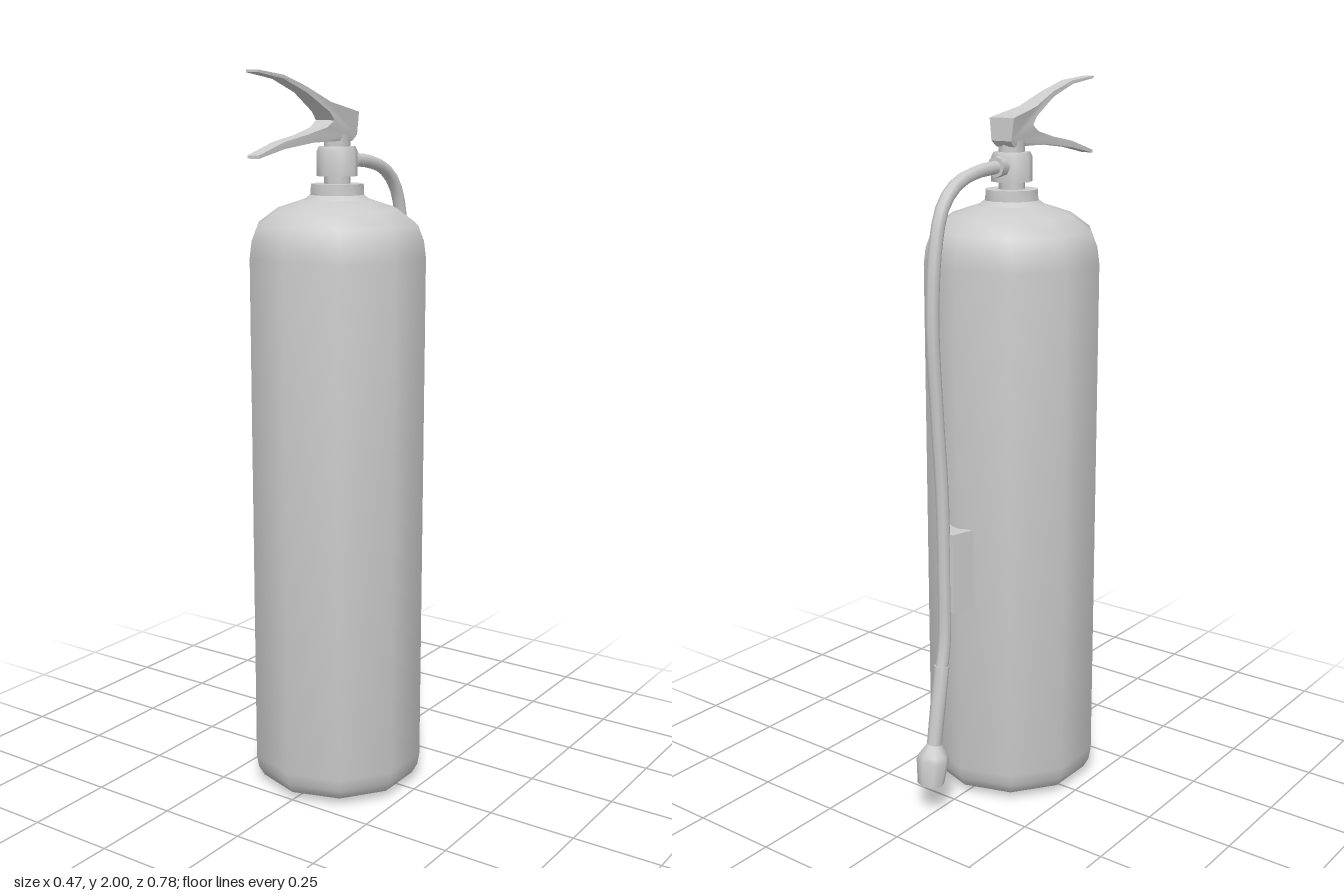
import * as THREE from 'three';
import { toCreasedNormals } from 'three/addons/utils/BufferGeometryUtils.js';

const AXIS_Z = 0.025; // the cylinder axis sits slightly forward of centre
const material = new THREE.MeshStandardMaterial({ color: 0xcccccc });

function part(name, geometry, crease = 0.8) {
  const mesh = new THREE.Mesh(toCreasedNormals(geometry, crease), material);
  mesh.name = name;
  return mesh;
}

// Solid of revolution from [radius, y] pairs, bottom to top
function turned(name, profile, sides, crease) {
  const points = profile.map(([r, y]) => new THREE.Vector2(r, y));
  const mesh = part(name, new THREE.LatheGeometry(points, sides), crease);
  mesh.position.z = AXIS_Z;
  return mesh;
}

// Half width of the handle, narrowing from the pivot to the grip ends
function handleHalfWidth(z, y) {
  const t = THREE.MathUtils.clamp((z + 0.03) / 0.24, 0, 1);
  const pinch = z < 0.09 ? THREE.MathUtils.clamp((1.88 - y) / 0.06, 0, 1) * 0.012 : 0;
  return THREE.MathUtils.lerp(0.041, 0.018, t) - pinch * (1 - t);
}

function handleGeometry() {
  // Side outline as [z, y]: upper lever, pivot block, lower lever, inner gap
  const outline = [
    [0.39, 2.0], [0.285, 1.99], [0.19, 1.963], [0.095, 1.925], [-0.02, 1.9],
    [-0.022, 1.84], [-0.005, 1.824], [0.085, 1.824], [0.165, 1.822], [0.285, 1.808], [0.39, 1.787],
    [0.39, 1.795], [0.285, 1.826], [0.19, 1.842], [0.11, 1.86], [0.08, 1.878],
    [0.1, 1.9], [0.19, 1.948], [0.285, 1.98], [0.39, 1.994],
  ];
  const shape = new THREE.Shape(outline.map(([z, y]) => new THREE.Vector2(z, y)));
  const geometry = new THREE.ExtrudeGeometry(shape, { depth: 2, bevelEnabled: false });
  geometry.translate(0, 0, -1);
  geometry.rotateY(-Math.PI / 2); // outline x becomes z
  const p = geometry.attributes.position;
  for (let i = 0; i < p.count; i++) {
    p.setX(i, p.getX(i) * handleHalfWidth(p.getZ(i), p.getY(i)));
  }
  return geometry;
}

export function createModel() {
  const model = new THREE.Group();
  model.name = 'fireExtinguisher';

  // Ten-sided pressure cylinder with a domed shoulder
  model.add(turned('tank', [
    [0, 0.002], [0.035, 0.003], [0.19, 0.012], [0.225, 0.026], [0.241, 0.055], [0.247, 0.09],
    [0.247, 1.52], [0.241, 1.565], [0.225, 1.605], [0.17, 1.645], [0.095, 1.67], [0, 1.68],
  ], 10, 1.1));

  // Neck fittings
  model.add(turned('collar', [
    [0.095, 1.668], [0.075, 1.683], [0.074, 1.712], [0, 1.712],
  ], 10));
  model.add(turned('neck', [[0.036, 1.7], [0.036, 1.84]], 8, 0.9));
  model.add(turned('valve', [
    [0, 1.732], [0.056, 1.732], [0.056, 1.797], [0.05, 1.81], [0, 1.81],
  ], 8, 0.9));

  // Squeeze handle
  model.add(part('handle', handleGeometry(), 0.6));

  // Hose outlet on the back of the valve
  const outlet = new THREE.CylinderGeometry(0.028, 0.028, 0.06, 8);
  outlet.rotateX(Math.PI / 2);
  outlet.translate(0, 1.774, -0.018);
  model.add(part('hoseOutlet', outlet, 0.9));

  // Hose arching over the shoulder and down the back
  const path = [
    [1.774, -0.03], [1.766, -0.13], [1.74, -0.215], [1.688, -0.27], [1.59, -0.301],
    [1.4, -0.317], [1.13, -0.302], [0.92, -0.287], [0.66, -0.283], [0.5, -0.286], [0.42, -0.3],
  ].map(([y, z]) => new THREE.Vector3(0, y, z));
  const hose = new THREE.TubeGeometry(new THREE.CatmullRomCurve3(path), 40, 0.018, 8);
  model.add(part('hose', hose, 1.0));

  // Discharge pipe and nozzle share one tilted axis
  const wand = new THREE.Group();
  wand.name = 'dischargeWand';
  const pipe = new THREE.CylinderGeometry(0.022, 0.021, 0.25, 8);
  pipe.translate(0, 0.215, 0);
  wand.add(part('dischargePipe', pipe, 0.9));
  const nozzle = turned('nozzle', [
    [0, 0], [0.037, 0], [0.046, 0.07], [0.042, 0.085], [0.021, 0.115], [0, 0.115],
  ], 8, 0.9);
  nozzle.position.z = 0;
  wand.add(nozzle);
  wand.position.set(0, 0.1, -0.353);
  wand.rotation.x = 0.16;
  model.add(wand);

  // Wedge-shaped hose clip on the back of the tank
  const clipShape = new THREE.Shape([
    [-0.044, 0.2], [0.044, 0.2], [0.025, 0.275], [-0.025, 0.275],
  ].map(([x, d]) => new THREE.Vector2(x, d)));
  const clip = new THREE.ExtrudeGeometry(clipShape, { depth: 0.225, bevelEnabled: false });
  clip.rotateX(-Math.PI / 2); // outline y becomes -z, depth becomes height
  clip.translate(0, 0.59, 0);
  model.add(part('hoseClip', clip, 0.5));

  return model;
}
